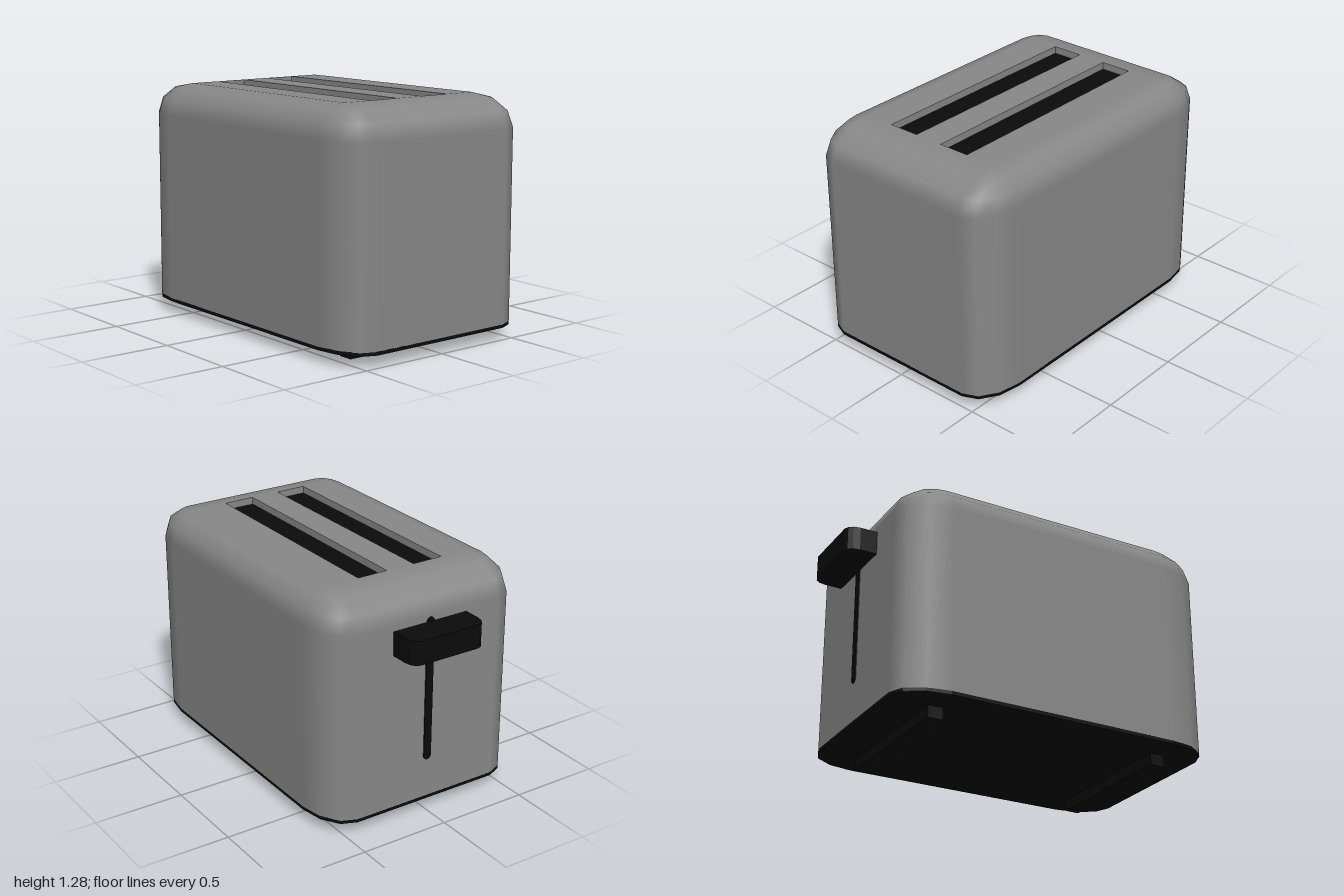
import * as THREE from 'three';

const HX = 0.43, HZ = 0.6575;              // straight half lengths of the shell
const RX = 0.165, RY = 0.17, RZ = 0.26;    // corner radii
const CZ = 0.0825, BOTTOM = 0.083, SHOULDER = 1.11, TOP = 1.28;
const STEPS = 3;                           // facets per rounded corner

// Footprint of the shell: four elliptical corners, as position and direction
function outline(scale = 1) {
  const pts = [];
  for (let q = 0; q < 4; q++) {
    const sx = q === 0 || q === 3 ? 1 : -1, sz = q < 2 ? 1 : -1;
    for (let j = 0; j <= STEPS; j++) {
      const a = (q + j / STEPS) * Math.PI / 2, c = Math.cos(a), s = Math.sin(a);
      pts.push({ x: sx * HX + RX * scale * c, z: CZ + sz * HZ + RZ * scale * s, c, s });
    }
  }
  return pts;
}

// Walls and rounded shoulder, lofted from rings
function shellGeometry() {
  const rings = [{ y: BOTTOM, phi: 0 }];
  for (let k = 0; k <= STEPS; k++) {
    const phi = k / STEPS * Math.PI / 2;
    rings.push({ y: SHOULDER + RY * Math.sin(phi), phi });
  }
  const pos = [], nor = [], idx = [], n = 4 * (STEPS + 1);
  rings.forEach(({ y, phi }, k) => {
    for (const p of outline(Math.cos(phi))) {
      pos.push(p.x, y, p.z);
      const v = new THREE.Vector3(p.c * Math.cos(phi) / RX, Math.sin(phi) / RY, p.s * Math.cos(phi) / RZ).normalize();
      nor.push(v.x, v.y, v.z);
    }
    if (k === 0) return;
    for (let i = 0; i < n; i++) {
      const a = (k - 1) * n + i, b = (k - 1) * n + (i + 1) % n;
      idx.push(a, a + n, b, b, a + n, b + n);
    }
  });
  const g = new THREE.BufferGeometry();
  g.setAttribute('position', new THREE.Float32BufferAttribute(pos, 3));
  g.setAttribute('normal', new THREE.Float32BufferAttribute(nor, 3));
  g.setIndex(idx);
  return g;
}

const rectPoints = (x0, x1, z0, z1) =>
  [[x0, z0], [x1, z0], [x1, z1], [x0, z1]].map(([x, z]) => new THREE.Vector2(x, z));

// Extrude an x-z shape downwards from height y
function slab(shape, y, depth) {
  return new THREE.ExtrudeGeometry(shape, { depth, bevelEnabled: false }).rotateX(Math.PI / 2).translate(0, y, 0);
}

export function createModel() {
  const model = new THREE.Group();
  const metal = new THREE.MeshStandardMaterial({ color: 0x888888 });
  const black = new THREE.MeshStandardMaterial({ color: 0x0b0b0b });
  metal.name = 'grey metal';
  black.name = 'black plastic';
  const add = (name, geometry, material) => {
    const mesh = new THREE.Mesh(geometry, material);
    mesh.name = name;
    model.add(mesh);
    return mesh;
  };

  add('shell', shellGeometry(), metal);

  // Top panel with two bread slots
  const z0 = CZ - HZ, z1 = CZ + HZ;
  const top = new THREE.Shape(rectPoints(-HX, HX, z0, z1));
  for (const x of [-0.172, 0.168]) {
    top.holes.push(new THREE.Path(rectPoints(x - 0.0875, x + 0.0875, z0 + 0.004, z1 - 0.004)));
  }
  add('topPanel', slab(top, TOP, 0.04), metal);
  add('slotInterior', new THREE.BoxGeometry(0.6, 0.01, 2 * HZ), black).position.set(0, TOP - 0.045, CZ);

  // Base plate and the two foot bars
  const foot = new THREE.Shape(outline().map(p => new THREE.Vector2(p.x, p.z)));
  add('basePlate', slab(foot, 0.085, 0.02), black);
  for (const [name, z] of [['frontFoot', 0.75], ['backFoot', -0.577]]) {
    add(name, new THREE.BoxGeometry(0.855, 0.07, 0.085), black).position.set(0, 0.035, z);
  }

  // Lever track: thin round-ended plate on the back
  const r = 0.023, track = new THREE.Shape();
  track.absarc(0, 1.105 - r, r, 0, Math.PI);
  track.absarc(0, 0.3 + r, r, Math.PI, 2 * Math.PI);
  const trackGeometry = new THREE.ExtrudeGeometry(track, { depth: 0.008, bevelEnabled: false, curveSegments: 6 });
  add('leverTrack', trackGeometry, black).position.z = -0.84;

  // Lever knob with rounded outer corners
  const half = [[0.225, -0.83], [0.225, -0.93], [0.217, -0.967], [0.2, -0.99], [0.175, -1]];
  const knob = [...half, ...half.map(([x, z]) => [-x, z]).reverse()];
  add('leverKnob', slab(new THREE.Shape(knob.map(([x, z]) => new THREE.Vector2(x, z))), 1.08, 0.13), black);

  return model;
}
